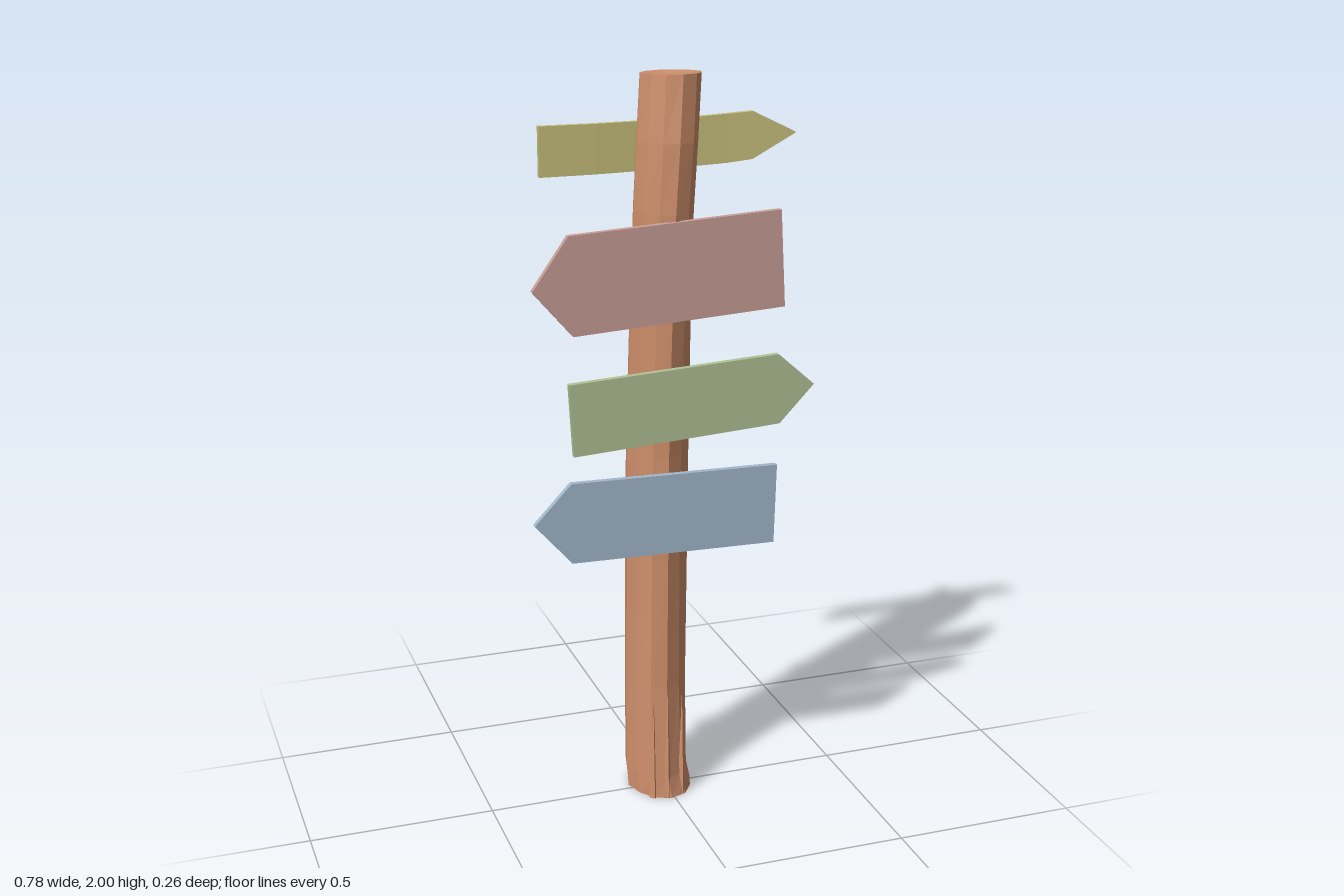
import * as THREE from 'three';

const material = (color) => new THREE.MeshStandardMaterial({ color, flatShading: true });

function addMesh(parent, name, geometry, mat) {
  const mesh = new THREE.Mesh(geometry, mat);
  mesh.name = name;
  parent.add(mesh);
  return mesh;
}

// Post stations: y, min x, max x, min z, max z
const STATIONS = [
  [0, -0.1, 0.082, -0.13, 0.093],
  [0.06, -0.103, 0.07, -0.131, 0.086],
  [0.33, -0.102, 0.066, -0.128, 0.077],
  [0.7, -0.1, 0.066, -0.122, 0.082],
  [1.0, -0.1, 0.065, -0.114, 0.09],
  [1.35, -0.095, 0.064, -0.099, 0.108],
  [1.65, -0.09, 0.067, -0.082, 0.125],
  [1.83, -0.083, 0.078, -0.073, 0.13],
  [2.0, -0.072, 0.089, -0.07, 0.121],
];

// Leaning, roughly hewn post: a cylinder whose rings are fitted to the stations
function postGeometry() {
  const sides = 12, rings = STATIONS.length - 1;
  const g = new THREE.CylinderGeometry(1, 1, rings, sides, rings);
  const p = g.attributes.position;
  for (let i = 0; i < p.count; i++) {
    const ring = Math.round(p.getY(i) + rings / 2);
    const [y, x0, x1, z0, z1] = STATIONS[ring];
    const side = Math.round((Math.atan2(p.getX(i), p.getZ(i)) / (2 * Math.PI)) * sides + sides) % sides;
    const r = side % 3 === 0 ? 1 : 0.97 + 0.03 * Math.sin(side * 2.3 + ring * 0.8);
    const px = p.getX(i) * r, pz = p.getZ(i) * r;
    const chip = ring === rings ? 0.006 * (pz - 1) - (Math.hypot(px, pz) < 0.1 ? 0.006 : 0) : 0;
    p.setXYZ(i, (x0 + x1) / 2 + px * (x1 - x0) / 2, y + chip, (z0 + z1) / 2 + pz * (z1 - z0) / 2);
  }
  g.computeVertexNormals();
  return g;
}

// Flat arrow board from its outline
function boardGeometry(points, back, front) {
  const shape = new THREE.Shape(points.map(([x, y]) => new THREE.Vector2(x, y)));
  const g = new THREE.ExtrudeGeometry(shape, { depth: front - back, bevelEnabled: false });
  return g.translate(0, 0, back);
}

// Warped arrow board from stations: x, bottom y, top y, middle z
function warpedBoardGeometry(stations, thickness) {
  const n = stations.length - 1;
  const g = new THREE.BoxGeometry(n, 1, 1, n, 2, 1);
  const p = g.attributes.position;
  for (let i = 0; i < p.count; i++) {
    const [x, y0, y1, z] = stations[Math.round(p.getX(i) + n / 2)];
    p.setXYZ(i, x, y0 + (y1 - y0) * (p.getY(i) + 0.5), z + p.getZ(i) * thickness);
  }
  g.computeVertexNormals();
  return g;
}

export function createModel() {
  const group = new THREE.Group();
  const wood = material(0xd0906c);

  addMesh(group, 'post', postGeometry(), wood);

  // Thin raised splinters along the foot of the post
  [[-0.055, 0.069, 0.3], [-0.018, 0.081, 0.33], [0.028, 0.069, 0.32]].forEach(([x, z, h], i) => {
    const splinter = addMesh(group, `splinter${i + 1}`, new THREE.ConeGeometry(0.012, h, 4), wood);
    splinter.position.set(x, h / 2, z);
  });

  addMesh(group, 'lowerSign', boardGeometry(
    [[-0.39, 0.86], [-0.29, 0.745], [0.275, 0.735], [0.281, 0.955], [-0.29, 0.965]], 0.091, 0.108), material(0xa3b8cc));
  addMesh(group, 'middleSign', boardGeometry(
    [[0.376, 1.175], [0.275, 1.265], [-0.296, 1.235], [-0.285, 1.042], [0.28, 1.075]], 0.105, 0.122), material(0xb0c194));
  addMesh(group, 'upperSign', boardGeometry(
    [[-0.39, 1.485], [-0.285, 1.363], [0.285, 1.395], [0.271, 1.65], [-0.295, 1.62]], 0.114, 0.131), material(0xc89e96));

  addMesh(group, 'rearSign', warpedBoardGeometry([
    [-0.31, 1.73, 1.86, -0.079], [-0.16, 1.73, 1.859, -0.079], [-0.03, 1.731, 1.859, -0.084],
    [0.1, 1.734, 1.861, -0.087], [0.2, 1.738, 1.866, -0.084], [0.27, 1.745, 1.87, -0.08],
    [0.387, 1.809, 1.812, -0.073],
  ], 0.015), material(0xc8c07d));

  return group;
}
